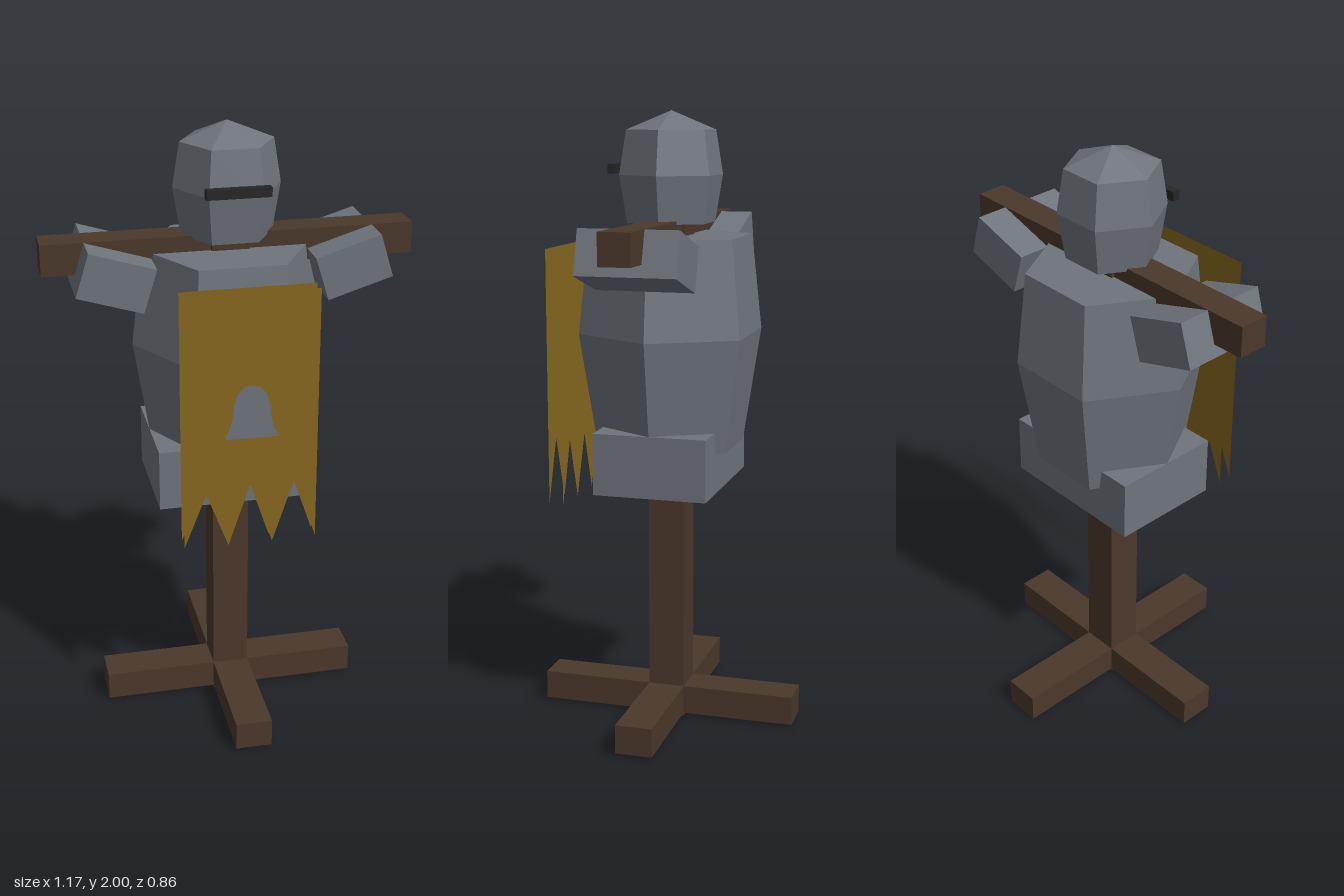
import * as THREE from 'three';

const paint = (name, color) =>
  new THREE.MeshStandardMaterial({ name, color, flatShading: true, side: THREE.DoubleSide });

export function createModel() {
  const model = new THREE.Group();
  model.name = 'trainingDummy';
  const wood = paint('wood', 0x4b382b);
  const steel = paint('steel', 0x6f757d);
  const gold = paint('goldCloth', 0x87671f);
  const dark = paint('darkSlit', 0x262626);

  const add = (name, geometry, material, x = 0, y = 0, z = 0) => {
    const mesh = new THREE.Mesh(geometry, material);
    mesh.name = name;
    mesh.position.set(x, y, z);
    model.add(mesh);
    return mesh;
  };
  const box = (name, material, w, h, d, x, y, z) =>
    add(name, new THREE.BoxGeometry(w, h, d), material, x, y, z);
  // Six-sided turned form with corners at +x and -x
  const hexForm = (name, profile) => add(name, new THREE.LatheGeometry(
    profile.map(([r, y]) => new THREE.Vector2(r, y)), 6, Math.PI / 2), steel);

  // Wooden stand
  box('post', wood, 0.12, 1.65, 0.12, 0, 0.825, 0);
  box('sideFoot', wood, 0.86, 0.095, 0.12, 0, 0.058, 0);
  box('frontFoot', wood, 0.12, 0.095, 0.86, 0, 0.058, 0);
  box('crossbar', wood, 1.17, 0.1, 0.1, 0, 1.61, 0);

  // Armour
  box('hipPlate', steel, 0.515, 0.2, 0.37, 0, 0.9, 0);
  hexForm('breastplate', [[0, 0.93], [0.246, 0.93], [0.305, 1.3], [0.27, 1.61], [0, 1.61]]);
  hexForm('helmet', [[0, 1.65], [0.145, 1.65], [0.17, 1.8], [0.147, 1.94], [0, 2]]);
  box('visorSlit', dark, 0.2, 0.03, 0.025, 0, 1.82, 0.168);
  for (const side of [-1, 1]) {
    const guard = box(side > 0 ? 'leftShoulder' : 'rightShoulder', steel,
      0.215, 0.143, 0.315, side * 0.37, 1.559, 0);
    guard.rotation.z = side * 0.3;
  }

  // Ragged cloth, two layers
  const cloth = new THREE.Shape([
    [-0.21, 1.573], [-0.21, 0.745], [-0.14, 0.925], [-0.07, 0.74], [0, 0.952],
    [0.07, 0.74], [0.14, 0.952], [0.21, 0.745], [0.21, 1.573],
  ].map(([x, y]) => new THREE.Vector2(x, y)));
  for (const [name, z] of [['clothBack', 0.305], ['clothFront', 0.352]]) {
    add(name, new THREE.ShapeGeometry(cloth), gold, 0, 0, z);
  }

  // Bell badge, two layers
  const bell = new THREE.Shape();
  bell.moveTo(-0.085, 1.116);
  bell.lineTo(0.085, 1.116);
  bell.quadraticCurveTo(0.06, 1.14, 0.054, 1.22);
  bell.bezierCurveTo(0.048, 1.304, -0.048, 1.304, -0.054, 1.22);
  bell.quadraticCurveTo(-0.06, 1.14, -0.085, 1.116);
  for (const [name, z] of [['badgeBack', 0.357], ['badgeFront', 0.374]]) {
    add(name, new THREE.ShapeGeometry(bell, 6), steel, 0, 0, z);
  }
  return model;
}
